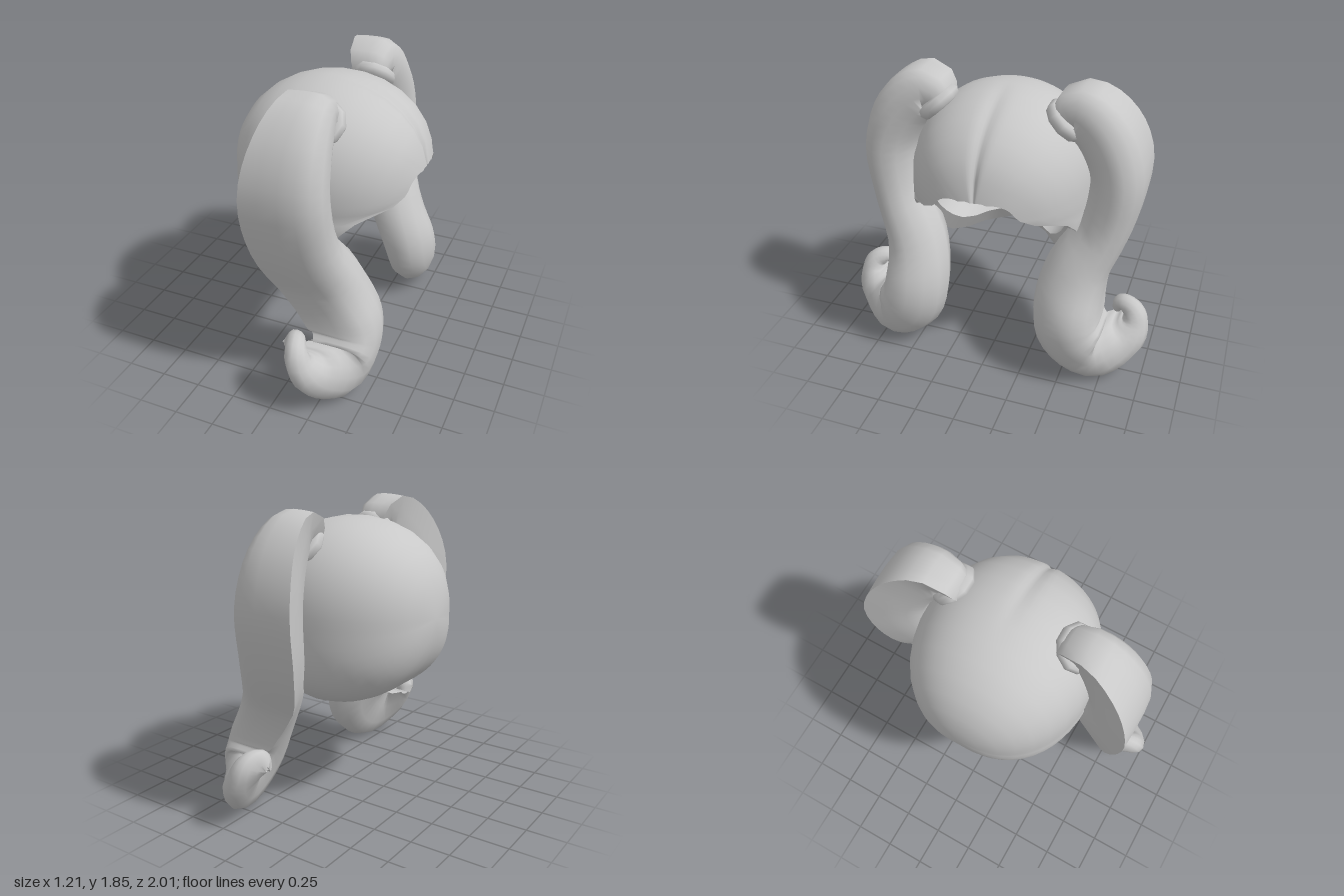
import * as THREE from 'three';
import { mergeVertices } from 'three/addons/utils/BufferGeometryUtils.js';

const hair = new THREE.MeshStandardMaterial({ color: 0xc8c8c8, side: THREE.DoubleSide });
hair.name = 'hairGrey';

// Smooth surface from a rule f(i, j) -> [x, y, z]
function grid(nu, nv, f, { flip = false, weld = false } = {}) {
  const pos = [], idx = [];
  for (let i = 0; i <= nu; i++) for (let j = 0; j <= nv; j++) pos.push(...f(i, j));
  for (let i = 0; i < nu; i++) for (let j = 0; j < nv; j++) {
    const a = i * (nv + 1) + j, b = a + nv + 1, c = a + 1, d = b + 1;
    if (flip) idx.push(a, c, b, b, c, d);
    else idx.push(a, b, c, b, d, c);
  }
  let g = new THREE.BufferGeometry();
  g.setAttribute('position', new THREE.Float32BufferAttribute(pos, 3));
  g.setIndex(idx);
  if (weld) g = mergeVertices(g, 1e-4);
  g.computeVertexNormals();
  return g;
}

function part(name, geometry) {
  const m = new THREE.Mesh(geometry, hair);
  m.name = name;
  return m;
}

// Hairline: [angle around the x axis from the top, polar angle from the back], degrees
const hairline = [[0, 174], [45, 171], [74, 161], [86, 158], [94, 154], [98, 146], [101, 130],
  [106, 119], [120, 106], [136, 97], [146, 90], [160, 70], [180, 62]];

function edgeAngle(alpha) {
  const a = Math.min(Math.abs(alpha) * 180 / Math.PI, 180);
  let k = 1;
  while (k < hairline.length - 1 && hairline[k][0] < a) k++;
  const [a0, e0] = hairline[k - 1], [a1, e1] = hairline[k];
  return (e0 + (e1 - e0) * (a - a0) / (a1 - a0)) * Math.PI / 180;
}

// The inner edge tucks back behind the fringe
const innerEdge = (alpha) =>
  edgeAngle(alpha) - 0.16 * THREE.MathUtils.smoothstep(Math.cos(alpha), -0.3, 0.1);

function capPoint(alpha, theta, scale, parted) {
  const c = Math.cos(alpha);
  const bulge = 1 + (c < 0 ? 0.15 : 0.025) * Math.sin(2 * alpha) ** 2;
  const r = 0.565 * Math.pow(Math.max(Math.sin(theta), 0), 0.85) * scale * bulge;
  const x = -0.605 * Math.cos(theta) * scale;
  // centre parting over the fringe
  const dent = parted ? 0.03 * Math.exp(-((alpha / 0.09) ** 2)) * THREE.MathUtils.smoothstep(x, -0.1, 0.3) : 0;
  return [x * (1 - dent), 1.205 + r * c * (1 - dent), r * Math.sin(alpha)];
}

function makeCap() {
  const cap = new THREE.Group();
  cap.name = 'hairCap';
  const NU = 64, NV = 14, INNER = 0.8;
  const ang = (i) => {
    const u = i / NU * 2 - 1;
    return Math.PI * Math.sign(u) * Math.abs(u) ** 1.3;
  };
  const outside = (i, j) => capPoint(ang(i), edgeAngle(ang(i)) * j / NV, 1, true);
  const inside = (i, j) => capPoint(ang(i), innerEdge(ang(i)) * j / NV, INNER, false);
  cap.add(part('capOutside', grid(NU, NV, outside, { weld: true })));
  cap.add(part('capInside', grid(NU, NV, inside, { flip: true, weld: true })));
  cap.add(part('hairlineRim', grid(NU, 1, (i, j) => (j ? inside(i, NV) : outside(i, NV)))));
  return cap;
}

// Tail stations: x, y, z, half width in the curl plane, half depth along x
const stations = [
  [0.09, 1.60, 0.36, 0.07, 0.08],
  [0.07, 1.70, 0.47, 0.155, 0.14],
  [0.05, 1.57, 0.63, 0.175, 0.20],
  [0.04, 1.32, 0.72, 0.17, 0.24],
  [0.07, 1.00, 0.67, 0.165, 0.24],
  [0.18, 0.73, 0.54, 0.195, 0.23],
  [0.29, 0.50, 0.50, 0.21, 0.22],
  [0.34, 0.31, 0.54, 0.21, 0.19],
  [0.33, 0.19, 0.70, 0.19, 0.16],
  [0.22, 0.25, 0.86, 0.14, 0.13],
  [0.15, 0.35, 0.91, 0.09, 0.10],
  [0.12, 0.42, 0.88, 0.065, 0.08],
  [0.09, 0.43, 0.81, 0.05, 0.07],
  [0.08, 0.37, 0.78, 0.03, 0.05]];

// Cross-section (outward, forward): flat outer face, wedge towards the sharp back corner
const section = [[0.95, -1], [0.99, -0.5], [1, 0], [0.96, 0.42], [0.78, 0.75], [0.42, 0.95], [0, 1], [-0.5, 0.85],
  [-0.86, 0.52], [-1, 0.1], [-0.88, -0.3], [-0.45, -0.6], [0.25, -0.82], [0.95, -1]];

function makeTail(side) {
  const tail = new THREE.Group();
  tail.name = side > 0 ? 'leftTail' : 'rightTail';
  const path = new THREE.CatmullRomCurve3(stations.map((s) => new THREE.Vector3(s[0], s[1], s[2])), false, 'catmullrom');
  const size = new THREE.CatmullRomCurve3(stations.map((s) => new THREE.Vector3(s[3], s[4], 0)), false, 'catmullrom');
  const N = 52;
  const rings = Array.from({ length: N + 1 }, (_, i) => {
    const t = i / N, d = 0.004;
    const a = path.getPoint(Math.max(t - d, 0)), b = path.getPoint(Math.min(t + d, 1));
    const dz = b.z - a.z, dy = b.y - a.y, len = Math.hypot(dz, dy) || 1;
    return { p: path.getPoint(t), s: size.getPoint(t), nz: -dy / len, ny: dz / len };
  });
  tail.add(part('curledLock', grid(N, section.length - 1, (i, j) => {
    const { p, s, nz, ny } = rings[i], [n, b] = section[j];
    return [p.x + b * s.y, p.y + n * s.x * ny, side * (p.z + n * s.x * nz)];
  }, { flip: side < 0 })));

  // hair tie
  const tie = part('hairTie', new THREE.TorusGeometry(0.1, 0.048, 8, 10));
  tie.position.set(0.09, 1.64, side * 0.40);
  tie.quaternion.setFromUnitVectors(new THREE.Vector3(0, 0, 1),
    new THREE.Vector3(0, 0.74, side * 0.67).normalize());
  tail.add(tie);
  return tail;
}

export function createModel() {
  const model = new THREE.Group();
  model.name = 'wig';
  model.add(makeCap(), makeTail(1), makeTail(-1));
  return model;
}
